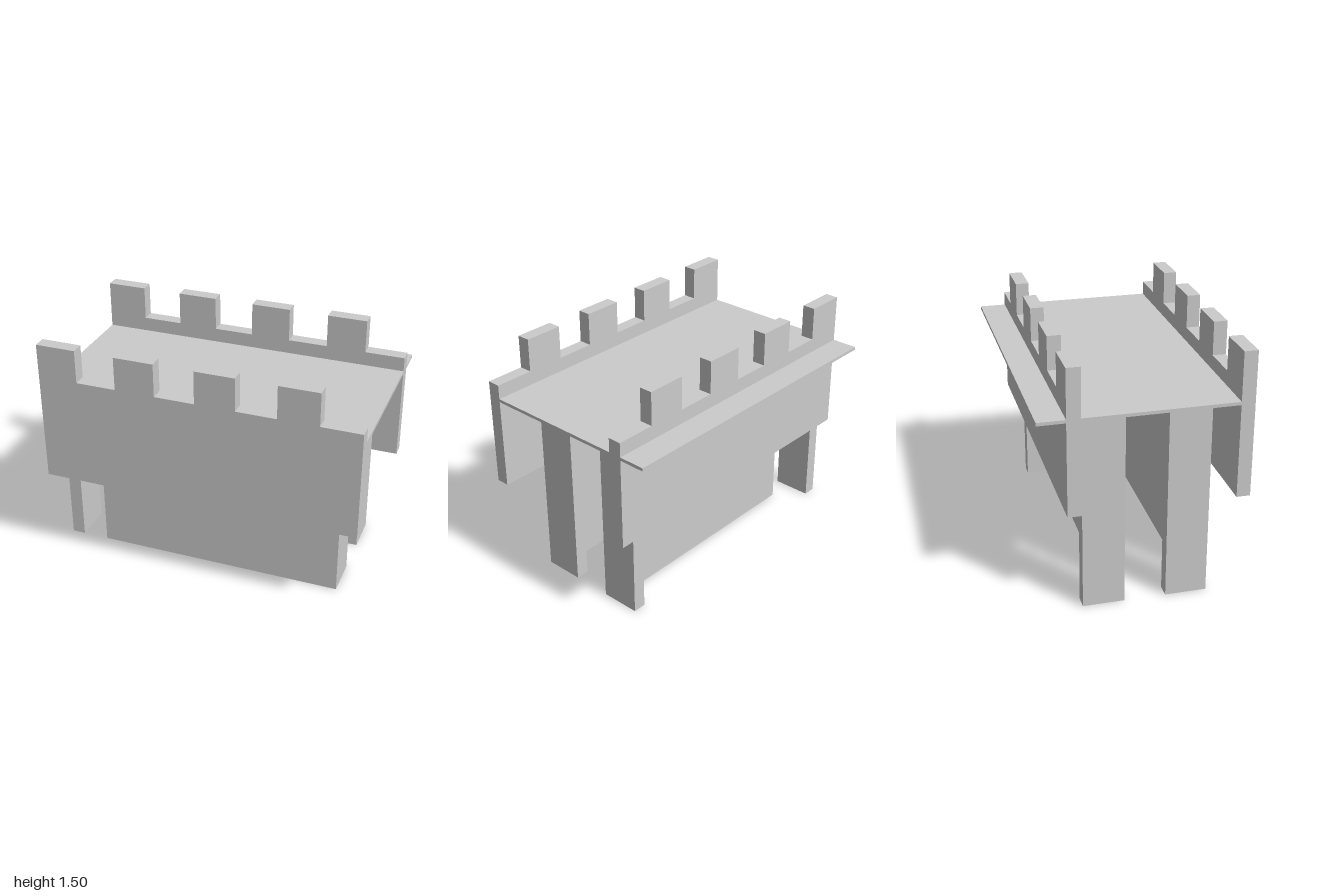
import * as THREE from 'three';

const T = 1 / 12; // thickness of walls and posts

export function createModel() {
  const model = new THREE.Group();
  model.name = 'battlementBridge';
  const stone = new THREE.MeshStandardMaterial({ color: 0xcccccc });
  stone.name = 'lightGrey';

  // Box given by its minimum and maximum corners
  function box(name, [x0, y0, z0], [x1, y1, z1], parent) {
    const mesh = new THREE.Mesh(new THREE.BoxGeometry(x1 - x0, y1 - y0, z1 - z0), stone);
    mesh.name = name;
    mesh.position.set((x0 + x1) / 2, (y0 + y1) / 2, (z0 + z1) / 2);
    parent.add(mesh);
  }

  // Parapet outline: four merlons, each followed by a gap
  const outline = new THREE.Shape();
  outline.moveTo(1, 0.6);
  outline.lineTo(1, 1.29);
  for (let x = 0.75; x >= -0.75; x -= 0.5) {
    outline.lineTo(x, 1.29);
    outline.lineTo(x, 1.5);
    outline.lineTo(x - 0.25, 1.5);
    if (x > -0.75) outline.lineTo(x - 0.25, 1.29);
  }
  outline.lineTo(-1, 0.6);
  const parapetGeometry = new THREE.ExtrudeGeometry(outline, { depth: T, bevelEnabled: false });
  for (const [name, front] of [['frontParapet', 0.625], ['backParapet', -0.375]]) {
    const parapet = new THREE.Mesh(parapetGeometry, stone);
    parapet.name = name;
    parapet.position.z = front - T;
    model.add(parapet);
  }

  // Deck, passing through the back parapet as a ledge
  box('deck', [-1, 1.18, -0.625], [1, 1.2, 0.625 - T], model);

  // Two supports, each an L-shaped wall and a separate post
  for (const [name, front] of [['frontSupport', 0.375], ['backSupport', -0.125]]) {
    const support = new THREE.Group();
    support.name = name;
    const back = front - 0.25;
    box('rightPost', [-1, 0, back], [-1 + T, 1.18, front], support);
    box('leftPost', [0.75, 0, back], [0.75 + T, 1.18, front], support);
    box('supportWall', [-0.75, 0, front - T], [0.75, 1.18, front], support);
    model.add(support);
  }
  return model;
}
